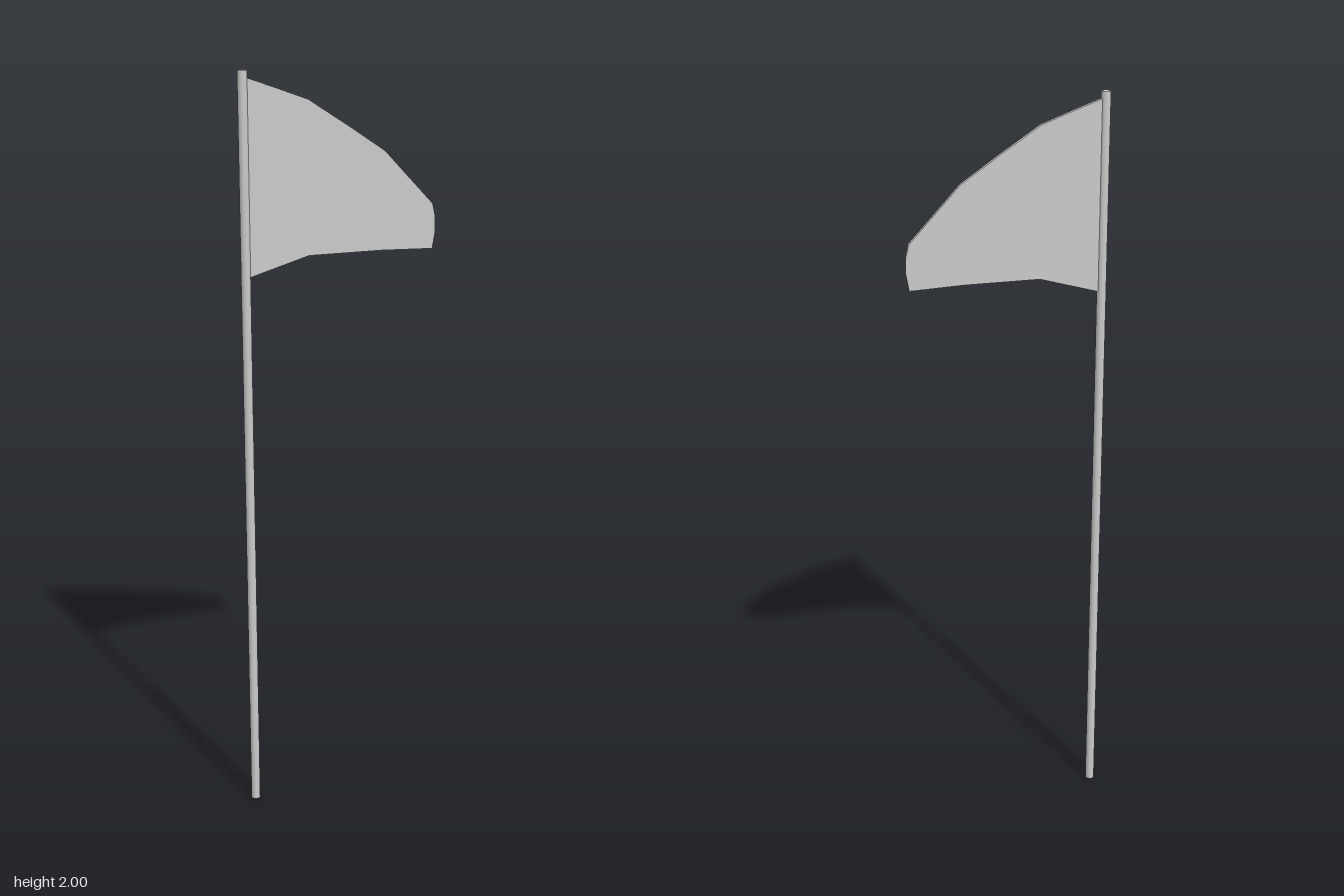
import * as THREE from 'three';

export function createModel() {
  const group = new THREE.Group();
  const poleX = -0.252, poleRadius = 0.0125, flagDepth = 0.011;

  // Tall slim pole
  const pole = new THREE.Mesh(
    new THREE.CylinderGeometry(poleRadius, poleRadius, 2, 12),
    new THREE.MeshStandardMaterial({ color: 0xcccccc })
  );
  pole.name = 'pole';
  pole.position.set(poleX, 1, 0);
  group.add(pole);

  // Pennant outline, from the top of the hoist round the tip to the bottom
  const outline = [
    [poleX, 1.985], [-0.172, 1.957], [-0.085, 1.925], [0.02, 1.857], [0.12, 1.79],
    [0.254, 1.648], [0.262, 1.615], [0.263, 1.575], [0.255, 1.53],
    [0.11, 1.535], [-0.085, 1.535], [poleX, 1.487],
  ].map(([x, y]) => new THREE.Vector2(x, y));
  const flagGeometry = new THREE.ExtrudeGeometry(new THREE.Shape(outline), {
    depth: flagDepth, bevelEnabled: false,
  });
  flagGeometry.translate(0, 0, -flagDepth / 2);

  // Cloth thins slightly toward the tip
  const p = flagGeometry.attributes.position;
  for (let i = 0; i < p.count; i++) {
    const t = (p.getX(i) - poleX) / 0.515;
    p.setZ(i, p.getZ(i) * (1.1 - 0.18 * t));
  }
  flagGeometry.computeVertexNormals();

  const flag = new THREE.Mesh(
    flagGeometry,
    new THREE.MeshStandardMaterial({ color: 0xcccccc, flatShading: true })
  );
  flag.name = 'flag';
  group.add(flag);

  return group;
}
